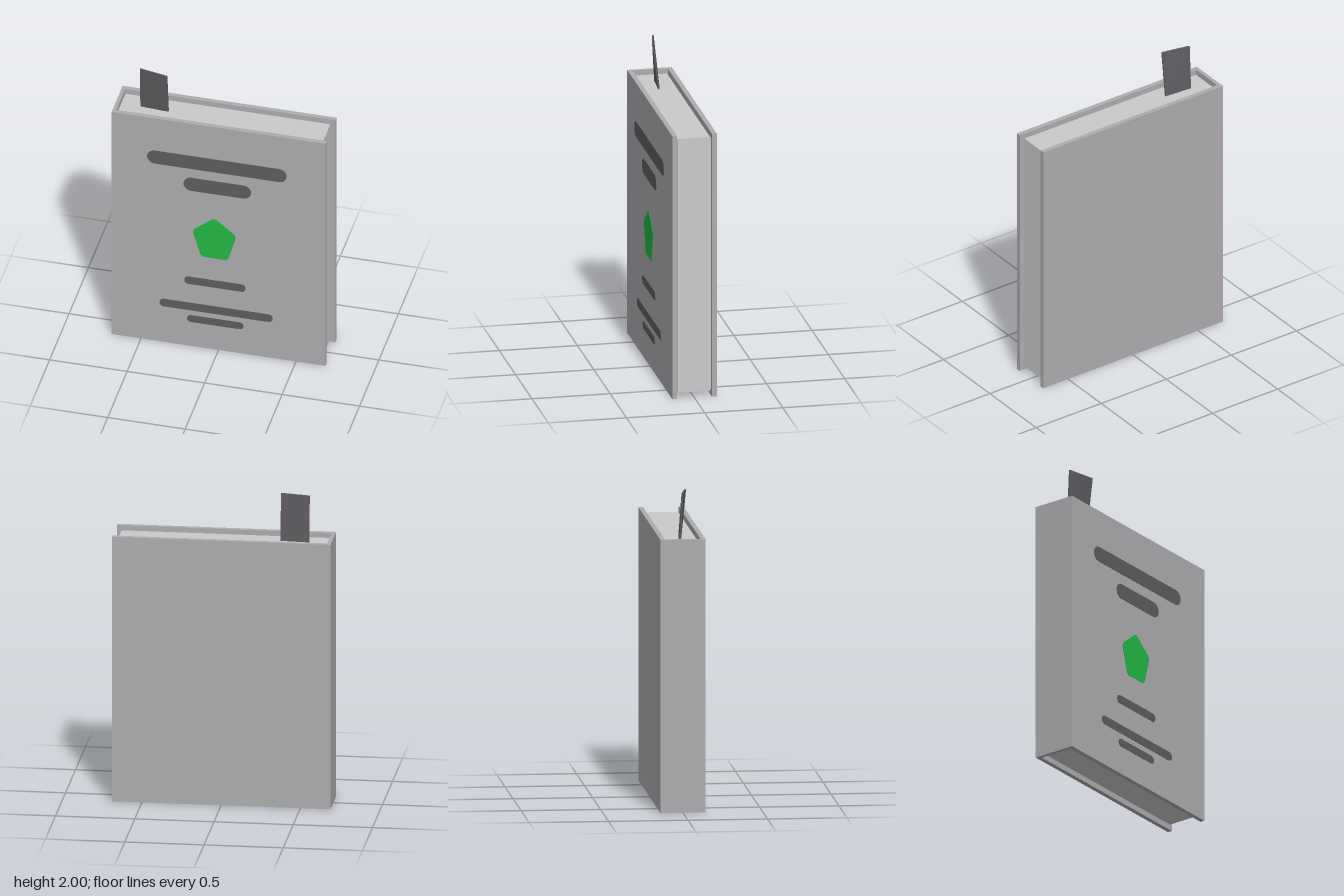
import * as THREE from 'three';

const mat = (name, color) => {
  const m = new THREE.MeshStandardMaterial({ color });
  m.name = name;
  return m;
};

export function createModel() {
  const book = new THREE.Group();
  book.name = 'book';
  const coverGrey = mat('cover grey', 0xaeacaf);
  const paper = mat('paper', 0xcacaca);
  const darkGrey = mat('dark grey', 0x5e5c60);
  const green = mat('emblem green', 0x22b945);

  const add = (name, geometry, material) => {
    const mesh = new THREE.Mesh(geometry, material);
    mesh.name = name;
    book.add(mesh);
    return mesh;
  };
  const polygon = (points) => new THREE.Shape(points.map(([x, y]) => new THREE.Vector2(x, y)));
  const extrude = (shape, depth, curveSegments = 8) =>
    new THREE.ExtrudeGeometry(shape, { depth, bevelEnabled: false, curveSegments });

  // U-shaped wrap, open at +x, rising from y0 to y1
  const wrap = (xOut, xIn, xEnd, zOut, zIn, y0, y1) => {
    const shape = polygon([
      [xOut, -zOut], [xEnd, -zOut], [xEnd, -zIn], [xIn, -zIn],
      [xIn, zIn], [xEnd, zIn], [xEnd, zOut], [xOut, zOut],
    ]);
    return extrude(shape, y1 - y0).rotateX(-Math.PI / 2).translate(0, y0, 0);
  };

  // Boards and spine, endpapers, page block
  add('cover', wrap(-0.69, -0.666, 0.69, 0.142, 0.112, 0, 1.73), coverGrey);
  add('endpapers', wrap(-0.666, -0.658, 0.655, 0.112, 0.104, 0.04, 1.69), paper);
  add('pages', new THREE.BoxGeometry(1.318, 1.67, 0.208).translate(0.001, 0.865, 0), paper);

  // Rounded bars on the front: left, right, centre height, radius
  const plate = 0.003;
  const bars = [
    [-0.46, 0.44, 1.43, 0.05],
    [-0.225, 0.21, 1.26, 0.05],
    [-0.22, 0.176, 0.51, 0.028],
    [-0.38, 0.35, 0.307, 0.029],
    [-0.203, 0.162, 0.214, 0.026],
  ];
  bars.forEach(([x0, x1, y, r], i) => {
    const s = new THREE.Shape();
    s.absarc(x1 - r, y, r, -Math.PI / 2, Math.PI / 2);
    s.absarc(x0 + r, y, r, Math.PI / 2, Math.PI * 1.5);
    add(`coverBar${i + 1}`, extrude(s, plate).translate(0, 0, 0.142), darkGrey);
  });

  // Pentagon emblem with slightly clipped corners
  const corners = [[-0.027, 1.022], [-0.168, 0.905], [-0.112, 0.71], [0.061, 0.71], [0.115, 0.905]];
  const clipped = corners.flatMap((c, i) => {
    const toward = (n) => [0, 1].map((k) => c[k] + (n[k] - c[k]) * 0.08);
    return [toward(corners[(i + 4) % 5]), toward(corners[(i + 1) % 5])];
  });
  add('emblem', extrude(polygon(clipped), plate).translate(0, 0, 0.142), green);

  // Ribbon bookmark, leaning forward and twisted more at its outer edge
  const ribbon = new THREE.BoxGeometry(0.185, 0.31, 0.01);
  const p = ribbon.attributes.position;
  for (let i = 0; i < p.count; i++) {
    const u = p.getX(i) / 0.185 + 0.5;
    const v = p.getY(i) / 0.31 + 0.5;
    const bottom = -0.004 + 0.012 * u;
    const top = 0.01 + 0.038 * u;
    p.setZ(i, p.getZ(i) + bottom + (top - bottom) * v);
  }
  ribbon.translate(-0.447, 1.845, 0);
  ribbon.computeVertexNormals();
  add('bookmark', ribbon, darkGrey);

  return book;
}
